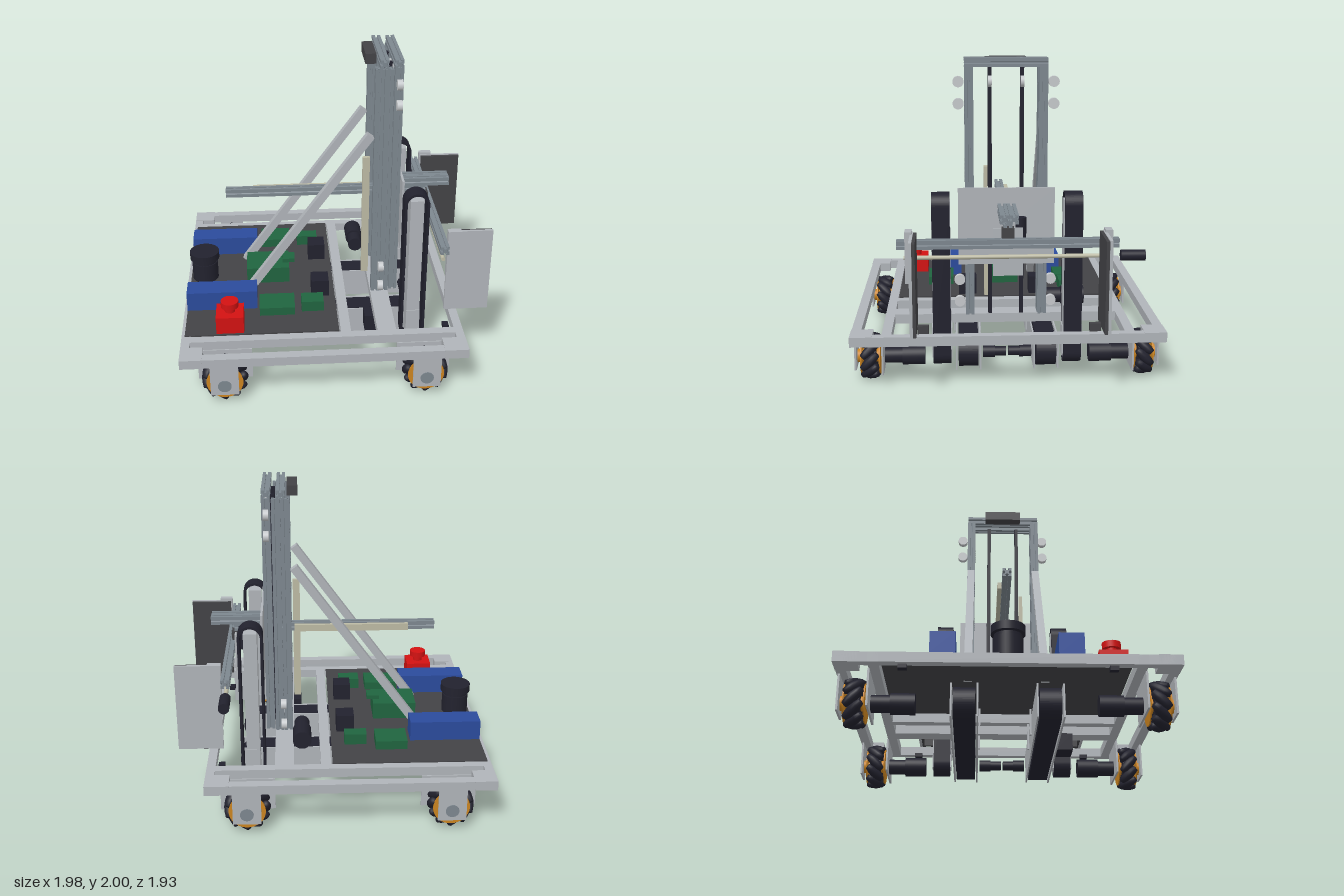
import * as THREE from 'three';

const mat = (name, color) => {
  const m = new THREE.MeshStandardMaterial({ color });
  m.name = name;
  return m;
};

export function createModel() {
  const root = new THREE.Group();
  root.name = 'mobileLiftRobot';
  const frame = mat('frameGrey', 0xb0b4b9), alloy = mat('slottedAlloy', 0x7d878f), silver = mat('silver', 0xc6c9cc);
  const black = mat('rubberBlack', 0x22222e), panel = mat('panelGrey', 0x434346), blue = mat('batteryBlue', 0x2b4b9c);
  const green = mat('circuitGreen', 0x20643f), red = mat('stopRed', 0xd31212), orange = mat('hubOrange', 0xcb8420);
  const beige = mat('rackBeige', 0xbcbaa4);

  const add = (name, geo, m, x = 0, y = 0, z = 0, parent = root) => {
    const mesh = new THREE.Mesh(geo, m);
    mesh.name = name;
    mesh.position.set(x, y, z);
    parent.add(mesh);
    return mesh;
  };
  // box given by its limits on each axis
  const box = (name, m, x0, x1, y0, y1, z0, z1, parent = root) =>
    add(name, new THREE.BoxGeometry(x1 - x0, y1 - y0, Math.abs(z1 - z0)), m, (x0 + x1) / 2, (y0 + y1) / 2, (z0 + z1) / 2, parent);
  const cyl = (name, m, r, len, axis, x, y, z, parent = root) => {
    const g = new THREE.CylinderGeometry(r, r, len, 32);
    if (axis === 'x') g.rotateZ(Math.PI / 2);
    if (axis === 'z') g.rotateX(Math.PI / 2);
    return add(name, g, m, x, y, z, parent);
  };

  // slotted square bar, centred on its length
  const h = 0.0275, pts = [];
  const side = [[h, -h], [h, -0.007], [0.021, -0.007], [0.021, -0.014], [0.012, -0.005],
    [0.012, 0.005], [0.021, 0.014], [0.021, 0.007], [h, 0.007]];
  for (let k = 0; k < 4; k++) {
    for (const [x, y] of side) pts.push(new THREE.Vector2(x, y).rotateAround(new THREE.Vector2(), k * Math.PI / 2));
  }
  const slotShape = new THREE.Shape(pts);
  const bar = (name, len, axis, x, y, z) => {
    const g = new THREE.ExtrudeGeometry(slotShape, { depth: len, bevelEnabled: false }).translate(0, 0, -len / 2);
    if (axis === 'x') g.rotateY(Math.PI / 2);
    if (axis === 'y') g.rotateX(-Math.PI / 2);
    return add(name, g, alloy, x, y, z);
  };

  // closed belt loop lying along x, hollow by a given thickness
  const loop = (Path, half, r) => {
    const s = new Path();
    s.absarc(half, 0, r, -Math.PI / 2, Math.PI / 2, false);
    s.absarc(-half, 0, r, Math.PI / 2, Math.PI * 1.5, false);
    s.closePath();
    return s;
  };
  const beltGeo = (len, r, t, width) => {
    const s = loop(THREE.Shape, len / 2 - r, r);
    s.holes.push(loop(THREE.Path, len / 2 - r, r - t));
    return new THREE.ExtrudeGeometry(s, { depth: width, bevelEnabled: false, curveSegments: 16 }).translate(0, 0, -width / 2);
  };

  // chassis frame
  for (const s of [-1, 1]) {
    box('outerRail', frame, -0.99, 0.8, 0.295, 0.355, s * 0.905, s * 0.965);
    box('innerRail', frame, -0.99, 0.8, 0.295, 0.355, s * 0.715, s * 0.775);
    box('rearCornerPlate', frame, -0.99, -0.85, 0.295, 0.357, s * 0.83, s * 0.967);
    box('frontCornerPlate', frame, 0.65, 0.8, 0.295, 0.357, s * 0.83, s * 0.967);
    for (const x of [-0.947, 0.718]) box('cornerSensor', black, x - 0.02, x + 0.02, 0.27, 0.295, s * 0.56, s * 0.61);
  }
  for (const [a, b] of [[-0.99, -0.935], [0.745, 0.8]]) box('endBeam', frame, a, b, 0.295, 0.355, -0.96, 0.96);
  for (const [a, b] of [[0.02, 0.085], [0.255, 0.315], [0.315, 0.375]]) box('crossBeam', frame, a, b, 0.295, 0.355, -0.72, 0.72);
  box('deck', panel, -0.97, 0.01, 0.35, 0.361, -0.72, 0.71);

  // wheels with angled rollers, brackets and motors
  const barrel = new THREE.LatheGeometry(
    [[0, -0.066], [0.019, -0.066], [0.027, -0.035], [0.031, 0], [0.027, 0.035], [0.019, 0.066], [0, 0.066]]
      .map(p => new THREE.Vector2(...p)), 14).rotateX(Math.PI / 2);
  for (const x of [-0.72, 0.545]) for (const s of [-1, 1]) {
    const wheel = new THREE.Group();
    wheel.name = 'wheel';
    wheel.position.set(x, 0.148, s * 0.86);
    root.add(wheel);
    cyl('wheelCore', black, 0.1, 0.07, 'z', 0, 0, 0, wheel);
    for (let i = 0; i < 10; i++) {
      const arm = new THREE.Group();
      arm.rotation.z = i * Math.PI / 5;
      arm.name = 'rollerMount';
      wheel.add(arm);
      add('roller', barrel, black, 0.115, 0, 0, arm).rotation.x = s * Math.sign(x) * Math.PI / 4;
    }
    for (const d of [-0.06, 0.055]) cyl('hubDisc', orange, 0.115, 0.008, 'z', 0, 0, d * s, wheel);
    cyl('axle', orange, 0.042, 0.165, 'z', 0, 0, 0, wheel);
    box('outerBracket', frame, x - 0.088, x + 0.088, 0.08, 0.295, s * 0.945, s * 0.957);
    box('innerBracket', frame, x - 0.172, x + 0.172, 0.08, 0.295, s * 0.77, s * 0.782);
    cyl('bearing', alloy, 0.042, 0.01, 'z', x, 0.148, s * 0.957);
    cyl('gearHead', black, 0.05, 0.12, 'z', x, 0.148, s * 0.71);
    cyl('wheelMotor', black, 0.062, 0.14, 'z', x, 0.148, s * 0.59);
  }

  // belt conveyors below the deck and upright beside the mast
  for (const s of [-1, 1]) {
    add('floorBelt', beltGeo(1.4, 0.1, 0.02, 0.125), black, -0.085, 0.16, s * 0.245);
    box('floorBeltCore', black, -0.68, 0.52, 0.075, 0.245, s * 0.19, s * 0.3);
    cyl('floorRoller', black, 0.08, 0.12, 'z', 0.515, 0.16, s * 0.245);
    cyl('floorRoller', black, 0.08, 0.12, 'z', -0.685, 0.16, s * 0.245);
    for (const z of [0.17, 0.32]) {
      box('floorBeltSide', frame, -0.78, 0.6, 0.06, 0.26, s * (z - 0.005), s * (z + 0.005));
      for (const x of [-0.235, 0.055]) box('hanger', frame, x - 0.012, x + 0.012, 0.13, 0.297, s * (z + (z > 0.2 ? 0.006 : -0.006)), s * (z + (z > 0.2 ? 0.018 : -0.018)));
    }
    cyl('beltGearHead', black, 0.038, 0.075, 'z', 0.54, 0.16, s * 0.115);
    cyl('beltMotor', black, 0.03, 0.07, 'z', 0.54, 0.16, s * 0.042);

    add('uprightBelt', beltGeo(1.11, 0.08, 0.016, 0.112), black, 0.52, 0.635, s * 0.41).rotation.z = Math.PI / 2;
    box('uprightBeltCore', frame, 0.476, 0.562, 0.14, 1.14, s * 0.352, s * 0.468);
    for (const z of [0.35, 0.47]) box('uprightBeltFoot', frame, 0.475, 0.565, 0.13, 0.33, s * (z - 0.004), s * (z + 0.004));
  }
  box('uprightBeltDrive', black, 0.2, 0.37, 0.175, 0.288, 0.35, 0.46);

  // mast posts, cross bars, guide wheels and lift belts
  for (const s of [-1, 1]) {
    for (const x of [0.288, 0.346]) bar('mastPost', 1.585, 'y', x, 1.15, s * 0.23);
    bar('slidingPost', 1.575, 'y', 0.407, 1.157, s * 0.23);
    for (const y of [1.855, 1.72]) cyl('upperGuideWheel', silver, 0.034, 0.035, 'x', 0.407, y, s * 0.295);
    for (const y of [0.57, 0.425]) cyl('lowerGuideWheel', silver, 0.034, 0.035, 'x', 0.318, y, s * 0.295);
    box('liftBelt', black, 0.355, 0.382, 0.36, 1.94, s * 0.088, s * 0.113);
    cyl('liftPulley', silver, 0.035, 0.022, 'z', 0.405, 1.855, s * 0.1);

    // diagonal brace
    const dx = 0.83, dy = 1.14;
    const brace = add('brace', new THREE.BoxGeometry(Math.hypot(dx, dy), 0.052, 0.05), frame, -0.175, 0.93, s * 0.23);
    brace.rotation.z = Math.atan2(dy, dx);
  }
  for (const x of [0.316, 0.407]) bar('mastTopBar', 0.515, 'z', x, 1.972, 0);
  box('topSensor', panel, 0.21, 0.278, 1.935, 2.0, -0.13, 0.125);
  box('liftRack', beige, 0.203, 0.25, 0.44, 1.3, 0.11, 0.135);
  cyl('liftGearHead', black, 0.05, 0.1, 'z', 0.2, 0.42, -0.32);
  cyl('liftMotor', black, 0.06, 0.15, 'z', 0.2, 0.42, -0.45);

  // carriage and telescoping arm
  box('carriagePlate', frame, 0.443, 0.458, 0.71, 1.2, -0.303, 0.303);
  bar('armBar', 1.345, 'x', -0.028, 1.013, 0);
  for (const z of [-0.0285, 0.0285]) bar('armExtension', 0.335, 'x', 0.628, 1.073, z);
  box('armRack', beige, -0.52, 0.24, 0.99, 1.035, -0.055, -0.029);
  cyl('armMotor', black, 0.033, 0.15, 'y', 0.58, 0.965, -0.083);
  box('armBracket', panel, 0.6, 0.66, 0.925, 0.988, -0.038, 0.038);
  box('gripperMount', frame, 0.628, 0.64, 0.685, 0.985, -0.092, 0.092);

  // gripper rail, screw and jaws
  bar('gripperRail', 1.355, 'z', 0.668, 0.898, 0);
  cyl('gripperScrew', beige, 0.013, 1.27, 'z', 0.668, 0.814, 0);
  cyl('gripperMotor', black, 0.034, 0.15, 'z', 0.668, 0.814, -0.765);
  for (const s of [-1, 1]) {
    box('jawSlider', frame, 0.695, 0.78, 0.685, 1.0, s * 0.578, s * 0.622);
    box('jawPlate', frame, 0.7, 0.985, 0.41, 0.985, s * 0.572, s * 0.59);
    box('jawPad', panel, 0.705, 0.982, 0.415, 0.98, s * 0.553, s * 0.572);
    box('jawSensor', panel, 0.802, 0.832, 0.385, 0.435, s * 0.485, s * 0.553);
  }

  // equipment on the deck
  const d = 0.361;
  box('battery', blue, -0.97, -0.51, d, 0.492, -0.44, -0.295);
  box('battery', blue, -0.97, -0.51, d, 0.492, 0.28, 0.425);
  for (const s of [-1, 1]) box('controller', black, -0.147, -0.03, d, 0.477, s * 0.18, s * 0.302);
  const boards = [[-0.48, -0.275, 0.42, -0.555, -0.38], [-0.22, -0.075, 0.433, -0.48, -0.395],
    [-0.58, -0.29, 0.475, -0.12, 0.11], [-0.495, -0.265, 0.417, 0.34, 0.515], [-0.22, -0.075, 0.433, 0.37, 0.482],
    [-0.335, -0.25, 0.503, -0.05, 0.04]];
  boards.forEach(([x0, x1, top, z0, z1], i) => box('circuitUnit', green, x0, x1, i === 5 ? 0.475 : d, top, z0, z1));
  const scanner = [[0, 0], [0.088, 0], [0.088, 0.13], [0.082, 0.13], [0.082, 0.15], [0.1, 0.155], [0.1, 0.205], [0, 0.205]];
  for (let i = 0; i < scanner.length - 1; i++) {
    const seg = [scanner[i], scanner[i + 1]].map(p => new THREE.Vector2(...p));
    add('scanner', new THREE.LatheGeometry(seg, 32), black, -0.87, d, 0);
  }
  box('stopBox', red, -0.77, -0.595, d, 0.477, 0.53, 0.7);
  cyl('stopNeck', red, 0.033, 0.05, 'y', -0.682, 0.5, 0.615);
  cyl('stopButton', red, 0.056, 0.04, 'y', -0.682, 0.533, 0.615);

  return root;
}
